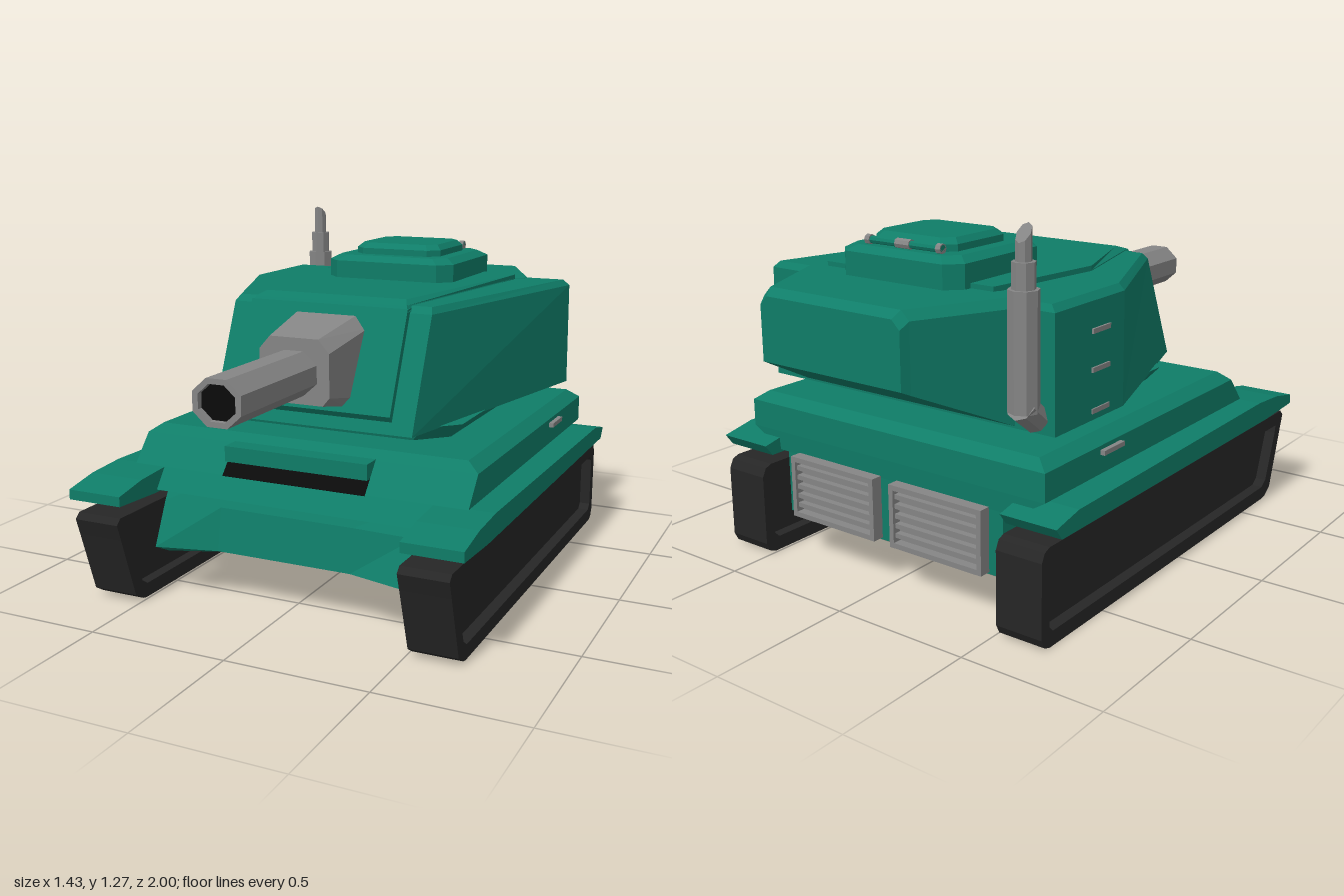
import * as THREE from 'three';

const mat = (color) => new THREE.MeshStandardMaterial({ color, flatShading: true });
const green = mat(0x0f7d68), grey = mat(0x858585), rubber = mat(0x262626), black = mat(0x0a0a0a);

// Closed solid through rings of equal point count, turned outward by its signed volume
function loft(rings) {
  const tris = [], n = rings[0].length;
  const mid = (r) => [0, 1, 2].map((k) => r.reduce((s, p) => s + p[k], 0) / n);
  const first = rings[0], last = rings[rings.length - 1];
  const c0 = mid(first), c1 = mid(last);
  for (let i = 0; i < n; i++) {
    const j = (i + 1) % n;
    for (let r = 0; r < rings.length - 1; r++) {
      const a = rings[r], b = rings[r + 1];
      tris.push([a[i], a[j], b[j]], [a[i], b[j], b[i]]);
    }
    tris.push([c0, first[j], first[i]], [c1, last[i], last[j]]);
  }
  let vol = 0;
  const V = (p) => new THREE.Vector3(...p);
  for (const [a, b, c] of tris) vol += V(a).dot(V(b).cross(V(c)));
  if (vol < 0) tris.forEach((t) => t.reverse());
  const g = new THREE.BufferGeometry();
  g.setAttribute('position', new THREE.Float32BufferAttribute(tris.flat(2), 3));
  g.computeVertexNormals();
  return g;
}

const atY = (y, pts) => pts.map(([x, z]) => [x, y, z]);
const atZ = (z, pts) => pts.map(([x, y]) => [x, y, z]);
// Rectangle with cut corners
const cutRect = (x0, x1, v0, v1, c) => [[x0 + c, v0], [x1 - c, v0], [x1, v0 + c], [x1, v1 - c],
  [x1 - c, v1], [x0 + c, v1], [x0, v1 - c], [x0, v0 + c]];

// Counterclockwise side profile of (z, y) points extruded between x0 and x1
function sideExtrude(pts, x0, x1, hole) {
  const vec = (p) => p.map(([a, b]) => new THREE.Vector2(a, b));
  const shape = new THREE.Shape(vec(pts));
  if (hole) shape.holes.push(new THREE.Path(vec(hole)));
  return new THREE.ExtrudeGeometry(shape, { depth: x1 - x0, bevelEnabled: false })
    .rotateY(-Math.PI / 2).translate(x1, 0, 0);
}

export function createModel() {
  const model = new THREE.Group();
  const add = (name, geo, material, x = 0, y = 0, z = 0) => {
    const m = new THREE.Mesh(geo, material);
    m.name = name;
    m.position.set(x, y, z);
    model.add(m);
    return m;
  };
  const box = (w, h, d) => new THREE.BoxGeometry(w, h, d);

  // Lower hull with a notched, scooped nose
  const hullSection = (x, y, nose, waist) => [[x, y, nose - 0.08], [x, 0.19, nose],
    [x, 0.34, waist], [x, 0.44, 0.54], [x, 0.44, -0.75], [x, 0.15, -0.75]];
  add('lowerHull', loft([hullSection(-0.47, 0.15, 0.67, 0.6), hullSection(-0.25, 0.16, 0.615, 0.59),
    hullSection(0.25, 0.16, 0.615, 0.59), hullSection(0.47, 0.15, 0.67, 0.6)]), green);

  // Upper hull
  const plan = (hx, zf, zb) => [[-hx, zf], [hx, zf], [hx, zb], [-hx, zb]];
  add('upperHull', loft([atY(0.37, plan(0.515, 0.592, -0.75)), atY(0.44, plan(0.63, 0.54, -0.755)),
    atY(0.535, plan(0.63, 0.457, -0.755)), atY(0.567, plan(0.585, 0.425, -0.72))]), green);

  // Driver's visor and its dark slit lying on the glacis
  add('visor', box(0.54, 0.055, 0.14), green, 0, 0.512, 0.454);
  add('visorSlit', box(0.54, 0.064, 0.02), black, 0, 0.456, 0.515).rotation.x = -0.72;

  // Tracks, fenders, grab bars and rear grilles on both sides
  const outline = [[-0.8, 0.33], [-0.825, 0.32], [-0.84, 0.29], [-0.84, 0.04], [-0.825, 0.01], [-0.8, 0],
    [0.68, 0], [0.7, 0.005], [0.74, 0.03], [0.81, 0.25], [0.83, 0.31], [0.81, 0.33]];
  const panel = [[-0.78, 0.28], [-0.8, 0.26], [-0.8, 0.07], [-0.78, 0.05], [0.67, 0.05],
    [0.7, 0.07], [0.765, 0.25], [0.77, 0.28]];
  const fender = [[0.81, 0.37], [0.81, 0.405], [0.68, 0.43], [0.53, 0.44], [-0.7, 0.425],
    [-0.82, 0.4], [-0.79, 0.36], [0.6, 0.36]];
  for (const s of [-1, 1]) {
    const span = (a, b) => (s > 0 ? [a, b] : [-b, -a]);
    add('track', sideExtrude(outline, ...span(0.51, 0.68), panel), rubber);
    add('trackPanel', sideExtrude(panel, ...span(0.55, 0.64)), rubber);
    add('fender', sideExtrude(fender, ...span(0.51, 0.717)), green);
    add('hullGrabBar', box(0.02, 0.016, 0.12), grey, s * 0.637, 0.513, -0.39);

    const grille = new THREE.Group();
    grille.name = 'rearGrille';
    const bar = (name, w, h, d, x, y, z) => {
      const m = new THREE.Mesh(box(w, h, d), grey);
      m.name = name;
      m.position.set(x, y, z);
      grille.add(m);
    };
    for (const e of [-1, 1]) {
      bar('grilleFrame', 0.38, 0.018, 0.045, 0, e * 0.101, 0);
      bar('grilleFrame', 0.018, 0.22, 0.045, e * 0.181, 0, 0);
    }
    for (let i = -2; i <= 2; i++) bar('grilleSlat', 0.36, 0.016, 0.03, 0, i * 0.034, 0.002);
    bar('grilleBack', 0.36, 0.2, 0.012, 0, 0, 0.016);
    grille.position.set(s * 0.225, 0.267, -0.77);
    model.add(grille);
  }

  // Turret ring
  const collar = (hx, zf, zb) => cutRect(-hx, hx, zb, zf, 0.1);
  add('turretRing', loft([atY(0.56, collar(0.42, 0.27, -0.51)), atY(0.62, collar(0.475, 0.29, -0.53))]), green);

  // Turret body, kinked on its right flank
  const body = (hx, fx, zf, zb, zk) => [[-fx, zf], [fx, zf], [hx, zb], [-hx, zb], [-hx, zk]];
  add('turretBody', loft([atY(0.615, body(0.6, 0.38, 0.41, -0.66, -0.27)),
    atY(1.0, body(0.597, 0.38, 0.245, -0.66, -0.27)),
    atY(1.022, body(0.575, 0.37, 0.22, -0.645, -0.27))]), green);

  // Thin plate on the turret front and raised plate on the roof
  const strip = (zf, zb) => [[-0.3, zf], [0.3, zf], [0.3, zb], [-0.3, zb]];
  add('frontPlate', loft([atY(0.655, strip(0.395, 0.35)), atY(0.675, strip(0.41, 0.35)),
    atY(1.015, strip(0.264, 0.2))]), green);
  const roof = (zf, w) => [[-w, zf], [w, zf], [0.4, -0.58], [0.37, -0.62], [-0.34, -0.62], [-0.4, -0.16]];
  add('roofPlate', loft([atY(1.005, roof(0.265, 0.3)), atY(1.025, roof(0.25, 0.29)), atY(1.04, roof(0.205, 0.27))]), green);

  // Rear bustle
  const bustle = (hx, y0, y1) => [[-hx, y0], [hx, y0], [hx, y1 - 0.03], [hx - 0.03, y1], [0.03 - hx, y1], [-hx, y1 - 0.03]];
  add('turretBustle', loft([atZ(-0.6, bustle(0.46, 0.618, 1.024)), atZ(-0.66, bustle(0.45, 0.622, 1.024)),
    atZ(-0.97, bustle(0.302, 0.77, 1.024)), atZ(-1.0, bustle(0.29, 0.785, 1.0))]), green);

  // Rungs on the turret flank
  for (const y of [0.645, 0.78, 0.905]) add('turretRung', box(0.02, 0.016, 0.1), grey, -0.595, y, -0.41);

  // Cupola and hatch
  add('cupola', loft([atY(1.02, cutRect(-0.25, 0.26, -0.697, -0.215, 0.05)),
    atY(1.105, cutRect(-0.25, 0.26, -0.697, -0.215, 0.05)),
    atY(1.125, cutRect(-0.215, 0.225, -0.665, -0.25, 0.045))]), green);
  add('hatch', loft([atY(1.12, cutRect(-0.168, 0.178, -0.62, -0.3, 0.04)),
    atY(1.148, cutRect(-0.168, 0.178, -0.62, -0.3, 0.04)),
    atY(1.167, cutRect(-0.148, 0.158, -0.6, -0.325, 0.035))]), green);
  const hinge = (r, l) => new THREE.CylinderGeometry(r, r, l, 8).rotateZ(Math.PI / 2);
  add('hatchHinge', hinge(0.013, 0.32), green, 0.005, 1.14, -0.637);
  for (const x of [-0.15, 0, 0.15]) add('hingeKnuckle', hinge(0.017, x ? 0.02 : 0.06), grey, x + 0.005, 1.14, -0.637);

  // Gun mantlet: back rings follow the sloped turret face
  const lean = (pts, z0, slope) => pts.map(([x, y]) => [x, y, z0 - (y - 0.69) * slope]);
  const mantlet = (tx, wx, bx, y0, y1) => [[-bx + 0.025, y0], [bx - 0.025, y0], [bx, y0 + 0.03], [wx, y1 - 0.045],
    [tx, y1], [-tx, y1], [-wx, y1 - 0.045], [-bx, y0 + 0.03]];
  add('mantlet', loft([lean(mantlet(0.115, 0.158, 0.147, 0.69, 0.988), 0.28, 0.45),
    lean(mantlet(0.115, 0.158, 0.147, 0.69, 0.988), 0.385, 0.45),
    atZ(0.515, mantlet(0.09, 0.13, 0.13, 0.715, 0.938))]), grey);

  // Slightly flattened octagonal barrel, hollow at the muzzle
  const flatten = (geo) => geo.rotateY(Math.PI / 8).rotateX(Math.PI / 2).scale(1.06, 0.94, 1);
  const barrel = new THREE.LatheGeometry([[0, 0.3], [0.086, 0.3], [0.086, 1], [0.066, 1], [0.066, 0.9]]
    .map(([r, y]) => new THREE.Vector2(r, y)), 8);
  add('barrel', flatten(barrel), grey, 0, 0.82, 0);
  add('bore', flatten(new THREE.CylinderGeometry(0.0655, 0.0655, 0.06, 8)), black, 0, 0.82, 0.95);

  // Stepped snorkel with a slanted tip and an inward foot
  const pipe = (r, y0, y1) => new THREE.CylinderGeometry(r, r, y1 - y0, 8).translate(0, (y0 + y1) / 2, 0);
  add('snorkelBase', pipe(0.05, 0.7, 1.075), grey, -0.527, 0, -0.72);
  add('snorkelMiddle', pipe(0.038, 1.07, 1.157), grey, -0.527, 0, -0.72);
  const tip = pipe(0.025, 1.15, 1.24);
  const p = tip.attributes.position;
  for (let i = 0; i < p.count; i++) if (p.getY(i) > 1.2) p.setY(i, 1.24 + p.getZ(i) * 1.1);
  add('snorkelTip', tip, grey, -0.527, 0, -0.72);
  add('snorkelFoot', new THREE.CylinderGeometry(0.049, 0.046, 0.1, 8), grey, -0.527, 0.69, -0.695).rotation.x = -0.9;
  return model;
}
